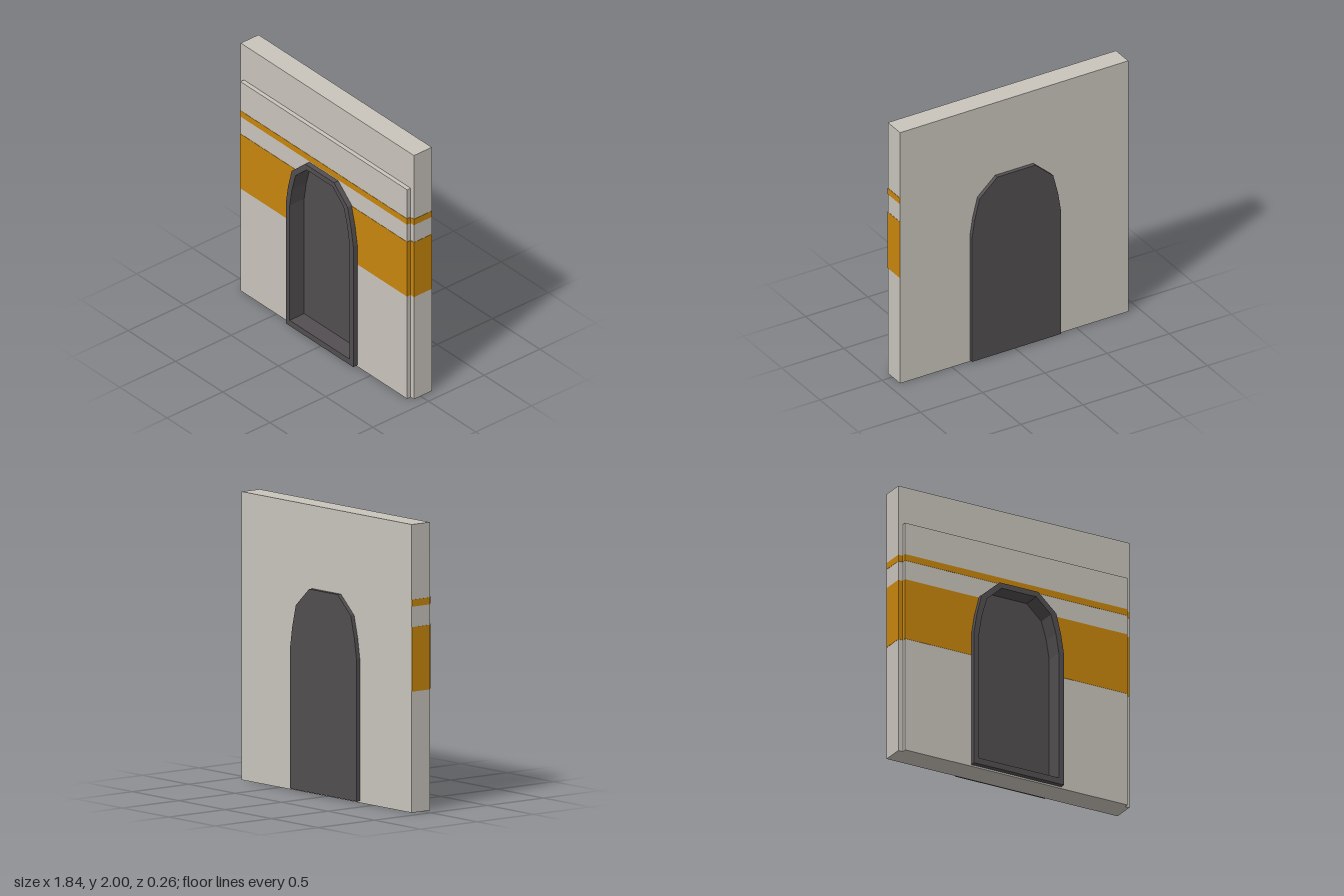
import * as THREE from 'three';

const W = 0.917, PW = 0.882;            // half widths of wall slab and front panel
const BACK = -0.1, FACE = 0.06, PANEL = 0.092, DOOR = 0.13;
const PANEL_TOP = 1.715, SKIN = 0.002;

// right half of the arch, from bottom to top
const OUTER = [[0.357, 0.012], [0.357, 1.0], [0.335, 1.14], [0.296, 1.293], [0.153, 1.422]];
const INNER = [[0.316, 0.057], [0.316, 1.0], [0.293, 1.14], [0.254, 1.275], [0.137, 1.382]];

const points = (list) => list.map(([x, y]) => new THREE.Vector2(x, y));
const archPoints = (half) => points([...half, ...half.map(([x, y]) => [-x, y]).reverse()]);

function rectShape(w, h) {
  return new THREE.Shape(points([[-w, 0], [w, 0], [w, h], [-w, h]]));
}

export function createModel() {
  const group = new THREE.Group();
  const material = (name, color) => {
    const m = new THREE.MeshStandardMaterial({ color });
    m.name = name;
    return m;
  };
  const stone = material('wall stone', 0xc9c4bc);
  const ochre = material('ochre stripe', 0xc8860d);
  const dark = material('door grey', 0x524e51);

  function add(name, geometry, mat) {
    const mesh = new THREE.Mesh(geometry, mat);
    mesh.name = name;
    group.add(mesh);
    return mesh;
  }
  // extrudes a front-facing shape between two depths
  function slab(name, shape, z0, z1, mat) {
    const geometry = new THREE.ExtrudeGeometry(shape, { depth: z1 - z0, bevelEnabled: false });
    return add(name, geometry.translate(0, 0, z0), mat);
  }
  // box given by its limits
  function block(name, x0, x1, y0, y1, z0, z1, mat) {
    const geometry = new THREE.BoxGeometry(x1 - x0, y1 - y0, z1 - z0);
    add(name, geometry.translate((x0 + x1) / 2, (y0 + y1) / 2, (z0 + z1) / 2), mat);
  }

  // wall and raised front panel, both open at the doorway
  const wall = rectShape(W, 2);
  wall.holes.push(new THREE.Path(archPoints(OUTER)));
  slab('wall', wall, BACK, FACE, stone);
  const panel = rectShape(PW, PANEL_TOP);
  panel.holes.push(new THREE.Path(archPoints(OUTER)));
  slab('frontPanel', panel, FACE, PANEL, stone);

  // door leaf and the frame standing around its recess
  slab('doorLeaf', new THREE.Shape(archPoints(OUTER)), -DOOR, 0, dark);
  const frame = new THREE.Shape(archPoints(OUTER));
  frame.holes.push(new THREE.Path(archPoints(INNER)));
  slab('doorFrame', frame, 0, DOOR, dark);

  // painted stripes: panel front, panel edge, wall margin and wall end
  const stripes = [['wideStripe', 0.84, 1.288], ['narrowStripe', 1.43, 1.478]];
  for (const [name, y0, y1] of stripes) {
    for (const s of [1, -1]) {
      const inner = y0 < 1
        ? [[0.297, y1], [0.335, 1.14], [0.357, 1.0], [0.357, y0]]
        : [[0, y1], [0, y0]];
      const outline = [[PW, y0], [PW, y1], ...inner].map(([x, y]) => [s * x, y]);
      slab(name + 'Front', new THREE.Shape(points(outline)), PANEL, PANEL + SKIN, ochre);

      const strip = (part, a, b, z0, z1) =>
        block(name + part, Math.min(s * a, s * b), Math.max(s * a, s * b), y0, y1, z0, z1, ochre);
      strip('PanelEdge', PW, PW + SKIN, FACE, PANEL + SKIN);
      strip('Margin', PW, W, FACE, FACE + SKIN);
      strip('End', W, W + SKIN, BACK, FACE + SKIN);
    }
  }
  return group;
}
